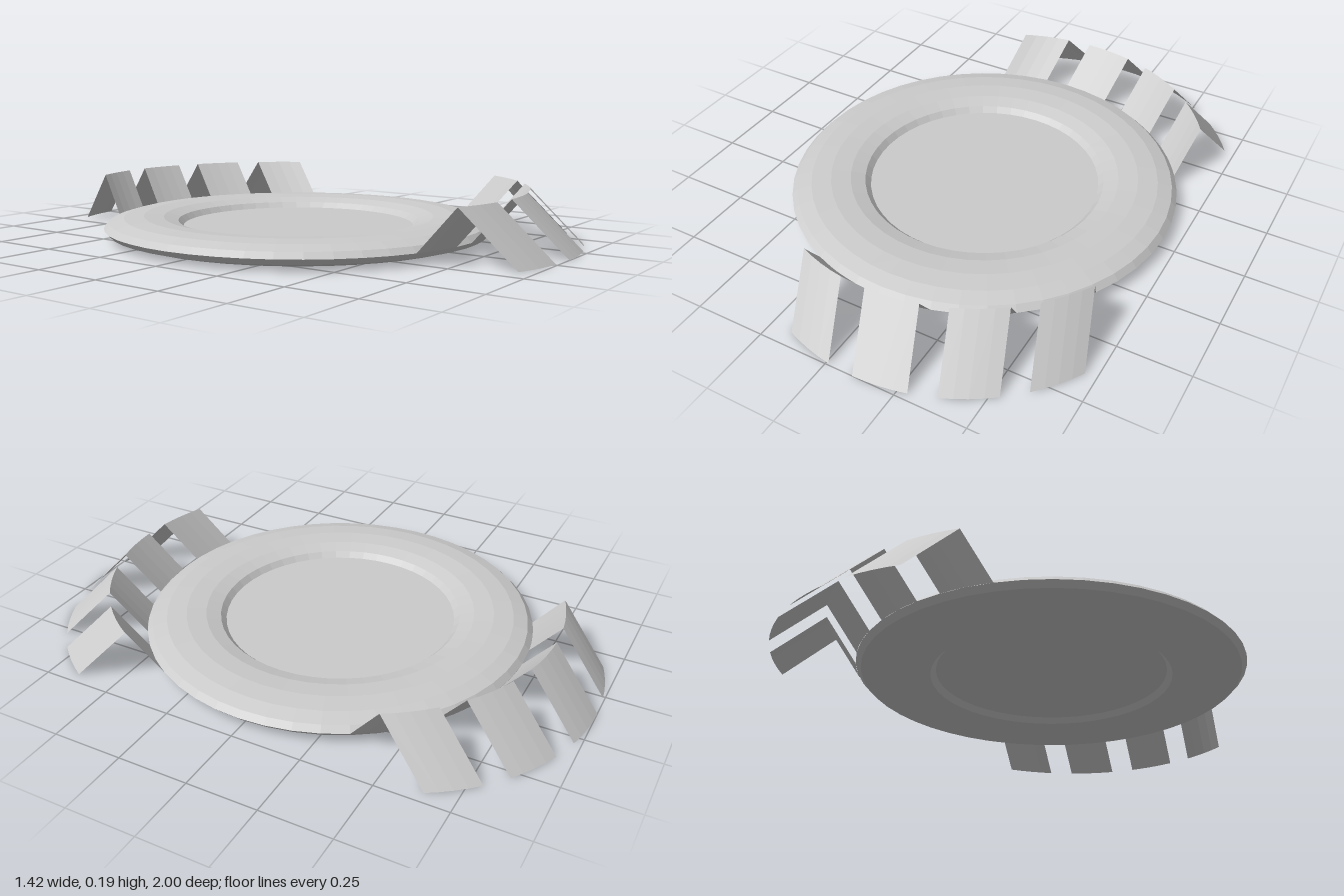
import * as THREE from 'three';

const OUTER = 0.705, INNER = 0.42, HEIGHT = 0.08;
const material = new THREE.MeshStandardMaterial({ color: 0xcccccc, flatShading: true });
const sheet = new THREE.MeshStandardMaterial({ color: 0xcccccc, flatShading: true, side: THREE.DoubleSide });

// Cross-section of a leg as [x shift, y, z shift] from the rim arc
const LEG = [[0, 0.04, 0], [0.04, 0.19, 0.118], [0.1, 0, 0.295]];

// Bent strip: an arc of the rim swept up to a ridge and down to the ground
function legGeometry(start, end, side) {
  const steps = 4, pos = [], index = [];
  for (let i = 0; i <= steps; i++) {
    const a = THREE.MathUtils.degToRad(start + (end - start) * i / steps);
    for (const [dx, y, dz] of LEG) {
      pos.push(OUTER * Math.sin(a) + dx, y, side * (OUTER * Math.cos(a) + dz));
    }
  }
  for (let i = 0; i < steps; i++) {
    for (let j = 0; j < LEG.length - 1; j++) {
      const a = i * LEG.length + j, b = a + 1, c = a + LEG.length, d = c + 1;
      if (side > 0) index.push(a, b, c, b, d, c);
      else index.push(a, c, b, b, c, d);
    }
  }
  const g = new THREE.BufferGeometry();
  g.setAttribute('position', new THREE.Float32BufferAttribute(pos, 3));
  g.setIndex(index);
  g.computeVertexNormals();
  return g;
}

export function createModel() {
  const model = new THREE.Group();
  model.name = 'leggedDish';

  // Flattened ring
  const tube = (OUTER - INNER) / 2;
  const ringGeometry = new THREE.TorusGeometry((OUTER + INNER) / 2, tube, 12, 48);
  ringGeometry.rotateX(-Math.PI / 2);
  ringGeometry.scale(1, HEIGHT / 2 / tube, 1);
  ringGeometry.translate(0, HEIGHT / 2, 0);
  const ring = new THREE.Mesh(ringGeometry, material);
  ring.name = 'ring';
  model.add(ring);

  // Thin floor closing the ring
  const floorGeometry = new THREE.CircleGeometry(INNER + 0.005, 48);
  floorGeometry.rotateX(-Math.PI / 2);
  floorGeometry.translate(0, HEIGHT / 2, 0);
  const floor = new THREE.Mesh(floorGeometry, sheet);
  floor.name = 'floor';
  model.add(floor);

  // Four legs on the front and four mirrored on the back
  for (const side of [1, -1]) {
    const legs = new THREE.Group();
    legs.name = side > 0 ? 'frontLegs' : 'backLegs';
    for (let i = 0; i < 4; i++) {
      const start = -22.5 + 22.5 * i;
      const leg = new THREE.Mesh(legGeometry(start, start + 15, side), sheet);
      leg.name = (side > 0 ? 'frontLeg' : 'backLeg') + (i + 1);
      legs.add(leg);
    }
    model.add(legs);
  }
  return model;
}
